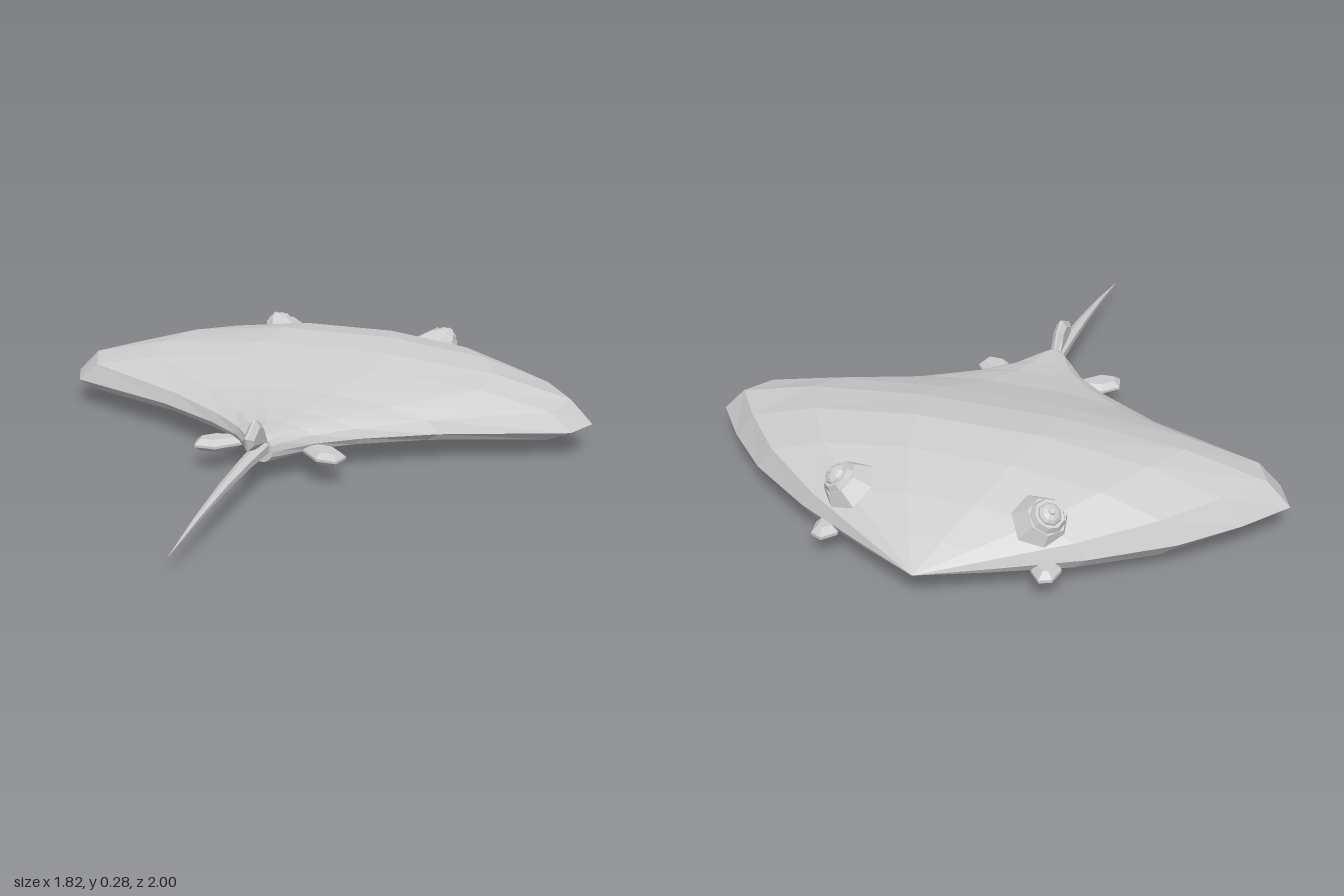
import * as THREE from 'three';

const grey = new THREE.MeshStandardMaterial({ color: 0xcccccc, flatShading: true });
grey.name = 'pale grey';

function part(name, geometry, parent) {
  const mesh = new THREE.Mesh(geometry, grey);
  mesh.name = name;
  parent.add(mesh);
  return mesh;
}

// Skin over a row of rings ordered towards +z, with both ends closed
function loft(rings) {
  const pos = [];
  const n = rings[0].length;
  const tri = (...pts) => pts.forEach((p) => pos.push(p.x, p.y, p.z));
  for (let i = 0; i < rings.length - 1; i++) {
    for (let k = 0; k < n; k++) {
      const a = rings[i][k], b = rings[i][(k + 1) % n];
      const c = rings[i + 1][(k + 1) % n], d = rings[i + 1][k];
      if (a.distanceTo(b) > 1e-5) tri(a, b, c);
      if (c.distanceTo(d) > 1e-5) tri(a, c, d);
    }
  }
  const first = rings[0], last = rings[rings.length - 1];
  for (let k = 1; k < n - 1; k++) {
    if (first[0].distanceTo(first[k]) > 1e-5) tri(first[0], first[k + 1], first[k]);
    if (last[0].distanceTo(last[k]) > 1e-5) tri(last[0], last[k], last[k + 1]);
  }
  const g = new THREE.BufferGeometry();
  g.setAttribute('position', new THREE.Float32BufferAttribute(pos, 3));
  g.computeVertexNormals();
  return g;
}

// Small fin with thin bevelled edges, drawn in the xy plane
function finGeometry(outline, thickness, bevel) {
  const shape = new THREE.Shape(outline.map(([x, y]) => new THREE.Vector2(x, y)));
  const core = thickness * 0.2;
  const g = new THREE.ExtrudeGeometry(shape, {
    depth: core, bevelEnabled: true, bevelSegments: 1,
    bevelThickness: (thickness - core) / 2, bevelSize: bevel, bevelOffset: -bevel,
  });
  return g.translate(0, 0, -core / 2);
}

// Body stations: z, half width, top, edge and bottom heights
const stations = [
  [-1, 0, 0.1, 0.1, 0.1],
  [-0.9, 0.2, 0.155, 0.1, 0.065],
  [-0.78, 0.43, 0.212, 0.1, 0.03],
  [-0.63, 0.65, 0.265, 0.1, 0.005],
  [-0.48, 0.8, 0.286, 0.1, 0.008],
  [-0.34, 0.91, 0.272, 0.1, 0.02],
  [-0.23, 0.86, 0.245, 0.1, 0.035],
  [-0.07, 0.47, 0.2, 0.105, 0.053],
  [0.06, 0.25, 0.178, 0.108, 0.062],
  [0.15, 0.135, 0.168, 0.11, 0.066],
  [0.25, 0.055, 0.163, 0.112, 0.07],
  [0.275, 0.035, 0.155, 0.112, 0.077],
];
// Share of the half width, and share of the height kept there
const span = [[0.92, 0.44], [0.65, 0.78], [0.24, 0.99]];

function bodyRing([z, w, top, edge, bottom]) {
  const row = (limit) => {
    const left = span.map(([u, h]) => new THREE.Vector3(u * w, edge + (limit - edge) * h, z));
    return [...left, ...left.map((p) => new THREE.Vector3(-p.x, p.y, z)).reverse()];
  };
  return [
    new THREE.Vector3(w, edge, z), ...row(top),
    new THREE.Vector3(-w, edge, z), ...row(bottom).reverse(),
  ];
}

// Tail stations: z, middle height, half width, half height
const tailStations = [
  [0.24, 0.122, 0.028, 0.026], [0.42, 0.121, 0.022, 0.019], [0.6, 0.113, 0.016, 0.014],
  [0.8, 0.094, 0.009, 0.009], [1, 0.066, 0.001, 0.002],
];

function tailRing([z, y, w, h]) {
  return Array.from({ length: 6 }, (_, k) => {
    const a = (k * Math.PI) / 3 + Math.PI / 6;
    return new THREE.Vector3(Math.cos(a) * w, y + Math.sin(a) * h, z);
  });
}

function addEye(side, parent) {
  const eye = new THREE.Group();
  eye.name = side > 0 ? 'leftEye' : 'rightEye';
  eye.position.set(side * 0.3, 0.193, -0.76);
  const outward = new THREE.Vector3(side * 0.45, 0.75, -0.35).normalize();
  eye.quaternion.setFromUnitVectors(new THREE.Vector3(0, 1, 0), outward);
  parent.add(eye);
  // Stepped mound: wide socket, lid ring, eyeball, pupil
  part('eyeSocket', new THREE.CylinderGeometry(0.058, 0.09, 0.05, 7), eye);
  part('eyelid', new THREE.CylinderGeometry(0.044, 0.054, 0.02, 9), eye).position.y = 0.032;
  const ball = part('eyeball', new THREE.SphereGeometry(0.036, 8, 4, 0, Math.PI * 2, 0, Math.PI / 2), eye);
  ball.position.y = 0.04;
  ball.scale.y = 0.6;
  part('pupil', new THREE.CylinderGeometry(0.009, 0.012, 0.006, 6), eye).position.y = 0.062;
}

export function createModel() {
  const ray = new THREE.Group();
  ray.name = 'ray';

  part('body', loft(stations.map(bodyRing)), ray);
  part('tail', loft(tailStations.map(tailRing)), ray);

  // Upright fin at the tail root, outline in z and y
  const dorsal = finGeometry([
    [0.25, 0.13], [0.33, 0.137], [0.4, 0.155], [0.41, 0.195], [0.335, 0.232], [0.29, 0.21],
  ], 0.036, 0.018);
  part('dorsalFin', dorsal.rotateY(-Math.PI / 2), ray);

  for (const side of [1, -1]) {
    addEye(side, ray);
    const flat = (outline, thickness) =>
      finGeometry(outline.map(([x, z]) => [side * x, -z]), thickness, 0.018).rotateX(-Math.PI / 2);

    // Small flat fins beside the tail root
    const pelvic = part('pelvicFin', flat([
      [0.1, 0.18], [0.14, 0.14], [0.2, 0.15], [0.245, 0.195], [0.232, 0.25], [0.165, 0.247],
    ], 0.04), ray);
    pelvic.position.y = 0.092;

    // Short lobes under the leading edge
    const lobe = part('headLobe', flat([
      [0.29, -0.85], [0.325, -0.89], [0.36, -0.875], [0.37, -0.82], [0.34, -0.77], [0.3, -0.79],
    ], 0.045), ray);
    lobe.position.y = 0.078;
  }
  return ray;
}
